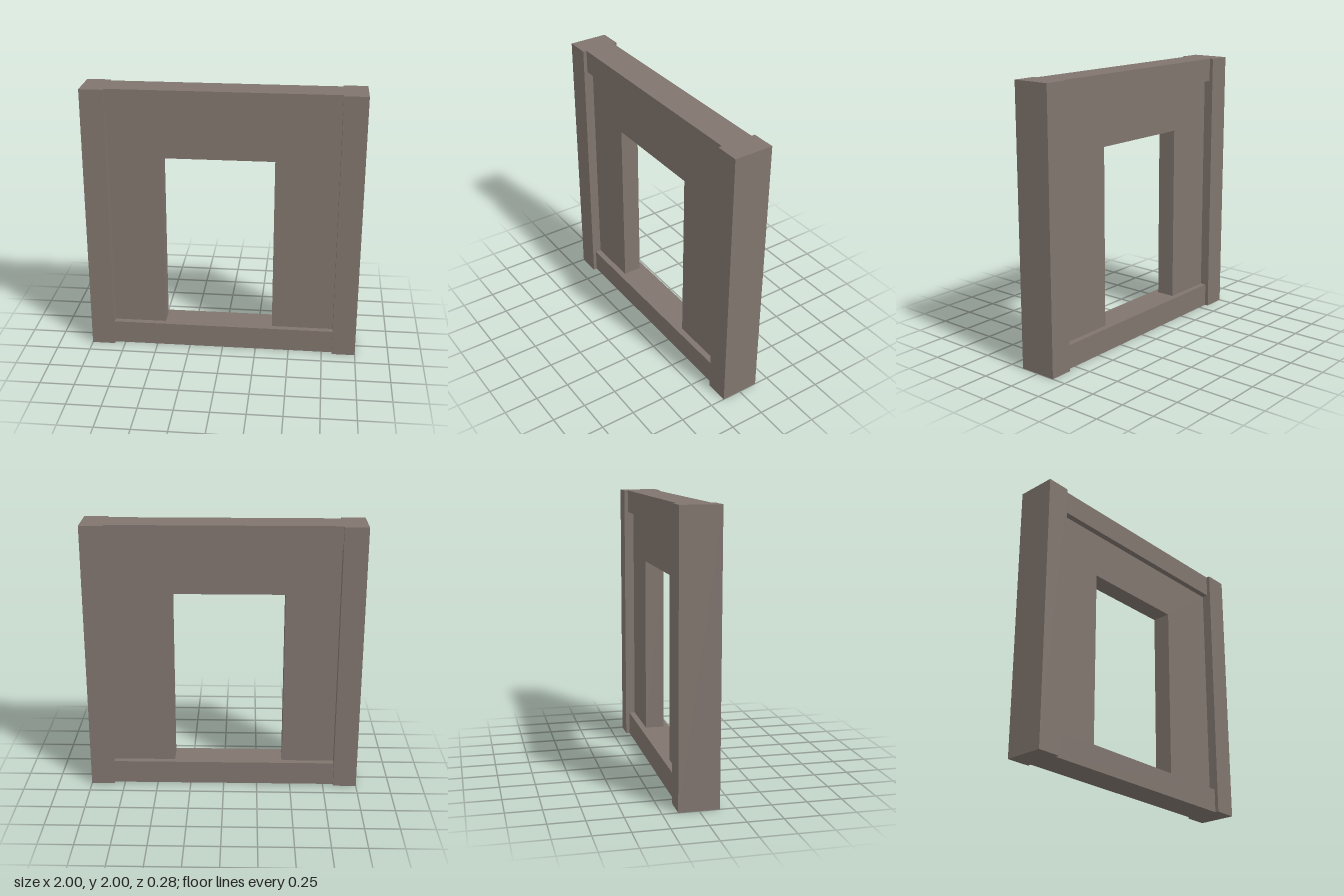
import * as THREE from 'three';

export function createModel() {
  const group = new THREE.Group();
  const stone = new THREE.MeshStandardMaterial({ color: 0x80756e });
  stone.name = 'warm grey';

  const W = 0.828;              // inner half width between the posts
  const LOW = 0.175, HIGH = 1.83; // sill top and lintel underside

  function add(name, geometry, x, y, z) {
    const mesh = new THREE.Mesh(geometry, stone);
    mesh.name = name;
    mesh.position.set(x, y, z);
    group.add(mesh);
  }

  // Full-height corner posts
  for (const [side, name] of [[1, 'leftPost'], [-1, 'rightPost']]) {
    add(name, new THREE.BoxGeometry(1 - W, 2, 0.284), side * (1 + W) / 2, 1, 0);
  }

  // Sill and lintel, slightly shallower than the posts
  add('bottomBeam', new THREE.BoxGeometry(2 * W, LOW, 0.23), 0, LOW / 2, 0);
  add('topBeam', new THREE.BoxGeometry(2 * W, 2 - HIGH, 0.23), 0, (2 + HIGH) / 2, 0);

  // Recessed wall around the off-centre doorway
  const wall = new THREE.Shape([
    [-W, LOW], [-0.44, LOW], [-0.44, 1.49], [0.37, 1.49],
    [0.37, LOW], [W, LOW], [W, HIGH], [-W, HIGH],
  ].map(([x, y]) => new THREE.Vector2(x, y)));
  add('wallPanel', new THREE.ExtrudeGeometry(wall, { depth: 0.14, bevelEnabled: false }), 0, 0, -0.07);

  return group;
}
